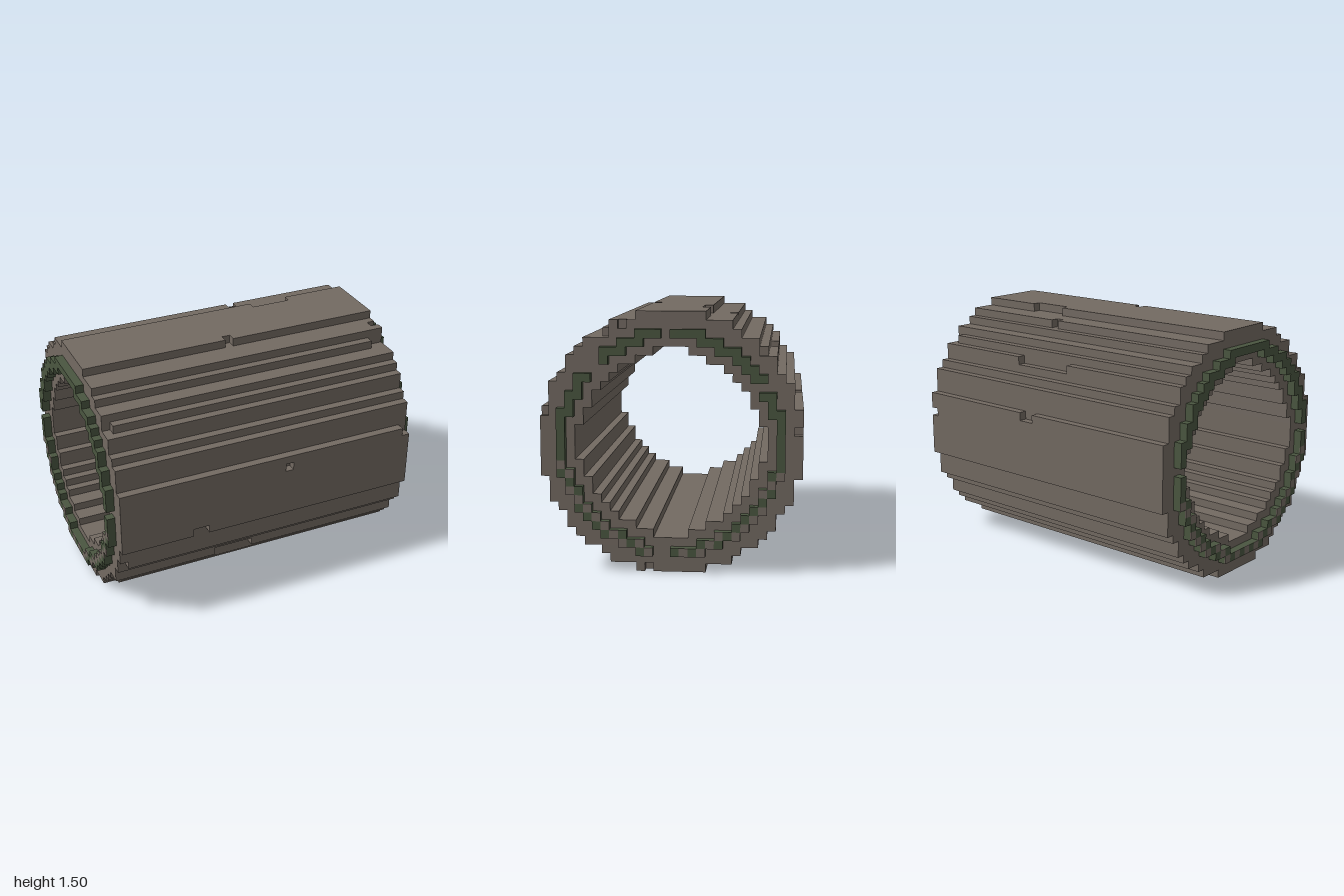
import * as THREE from 'three';
import { mergeGeometries } from 'three/addons/utils/BufferGeometryUtils.js';

const S = 0.05; // block size
const HALF = 19; // half length of the wall in blocks

// Worn notches in the outer wall, in blocks: x0, x1, y, z
const NOTCHES = [
  [2, 3, 17, 14], [-10, -8, 11, 14], [-6, -1, 5, 11], [18, 19, 18, 14],
  [-19, -18, 8, 13], [-19, -18, 4, 10], [-19, -18, 3, 9], [17, 19, 27, 7],
  [-19, -18, 25, 10], [18, 19, 28, 5], [18, 19, 25, -11], [-2, 6, 24, -12],
  [1, 3, 18, -15], [18, 19, 16, -15], [4, 5, 28, -7], [6, 11, 29, -4],
  [-1, 0, 29, 3], [18, 19, 0, 2],
];

// Block (j, k) is row j above the ground and column k along z
const radius = (j, k) => Math.hypot(j - 14.5, k + 0.5) * S;

function inBore(j, k) {
  const a = Math.abs(j - 14.5), b = Math.abs(k + 0.5);
  return radius(j, k) < 0.52 || (Math.max(a, b) === 10.5 && Math.min(a, b) < 2);
}

// Lip: the outermost ring of blocks of a smaller disc
function inLip(j, k) {
  if (radius(j, k) > 0.65) return false;
  for (let a = -1; a <= 1; a++)
    for (let b = -1; b <= 1; b++) if (radius(j + a, k + b) > 0.65) return true;
  return false;
}

// Missing lip blocks on each end
function lipGap(side, j, k) {
  if (side < 0) return j === 15;
  return (j === 27 && k === 0) || (j === 2 && (k === 0 || k === 1)) ||
    (k >= 8 && k <= 9 && j >= 23 && j <= 24) || (k === -11 && j === 21);
}

function bar(x0, x1, j, k) {
  const g = new THREE.BoxGeometry(x1 - x0, S, S);
  g.translate((x0 + x1) / 2, (j + 0.5) * S, (k + 0.5) * S);
  return g;
}

export function createModel() {
  const stone = new THREE.MeshStandardMaterial({ color: 0x736a62 });
  stone.name = 'stoneBrown';
  const moss = new THREE.MeshStandardMaterial({ color: 0x4a5640 });
  moss.name = 'mossGreen';

  const group = new THREE.Group();
  group.name = 'blockPipe';
  const add = (name, parts, material) => {
    const mesh = new THREE.Mesh(mergeGeometries(parts), material);
    mesh.name = name;
    group.add(mesh);
  };

  const wall = [];
  const lips = { 1: [], '-1': [] };
  const patches = { 1: [], '-1': [] };

  for (let j = 0; j < 30; j++) {
    for (let k = -15; k < 15; k++) {
      // Wall: one long bar per block position, interrupted by notches
      if (radius(j, k) < 0.75 && !inBore(j, k)) {
        let start = -HALF;
        const cuts = NOTCHES.filter((n) => n[2] === j && n[3] === k).sort((a, b) => a[0] - b[0]);
        for (const [x0, x1] of cuts) {
          if (x0 > start) wall.push(bar(start * S, x0 * S, j, k));
          start = x1;
        }
        if (start < HALF) wall.push(bar(start * S, HALF * S, j, k));
      }
      // Lips: single blocks on both ends, bare stone patches on the lower half
      if (!inLip(j, k)) continue;
      for (const side of [1, -1]) {
        if (lipGap(side, j, k)) continue;
        const bare = j < 13 && (j + k + 40) % 2 === 0;
        const tip = bare ? 0.995 : 1;
        const span = (a, b) => (side > 0 ? bar(a, b, j, k) : bar(-b, -a, j, k));
        lips[side].push(span(0.95, tip));
        if (bare) patches[side].push(span(tip, 1));
      }
    }
  }

  add('pipeWall', wall, stone);
  add('leftLip', lips[1], moss);
  add('rightLip', lips[-1], moss);
  add('leftBarePatches', patches[1], stone);
  add('rightBarePatches', patches[-1], stone);
  return group;
}
